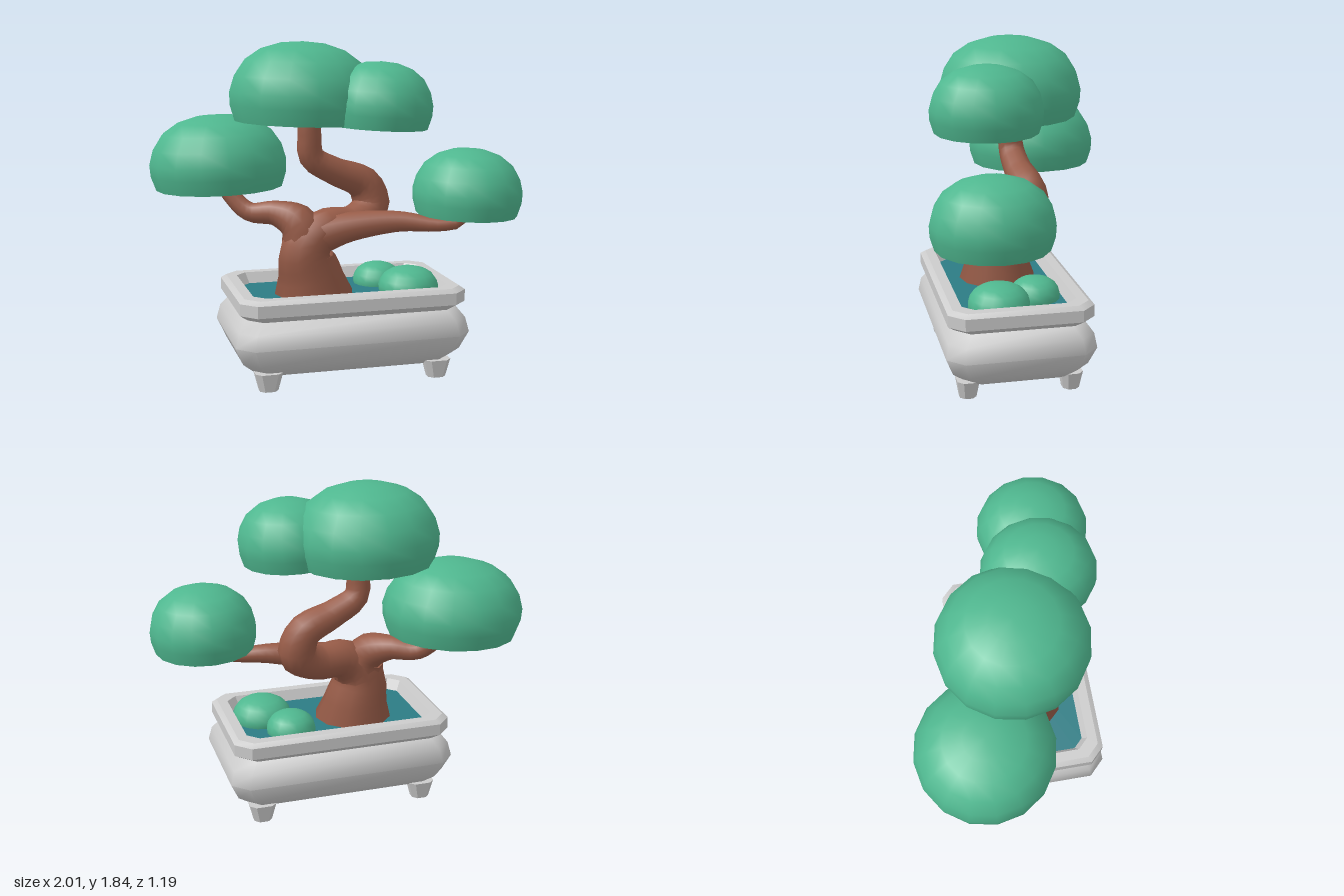
import * as THREE from 'three';
import { toCreasedNormals } from 'three/addons/utils/BufferGeometryUtils.js';

const material = (color) => new THREE.MeshStandardMaterial({ color });
const GREY = material(0xcccccc);
const GREEN = material(0x4fb78f);
const BROWN = material(0x985c48);
const TEAL = material(0x2c7c84);

function addMesh(parent, name, geometry, mat) {
  const mesh = new THREE.Mesh(geometry, mat);
  mesh.name = name;
  parent.add(mesh);
  return mesh;
}

// Solid through rectangles with cut corners; each ring is [y, halfX, halfZ, cut]
function loft(rings, crease) {
  const pos = [], index = [], n = 8;
  for (const [y, x, z, c] of rings) {
    const loop = [[x, -z + c], [x, z - c], [x - c, z], [c - x, z], [-x, z - c], [-x, c - z], [c - x, -z], [x - c, -z]];
    for (const [px, pz] of loop) pos.push(px, y, pz);
  }
  for (let i = 0; i < rings.length - 1; i++) {
    for (let j = 0; j < n; j++) {
      const a = i * n + j, b = i * n + (j + 1) % n;
      index.push(a, a + n, b, b, a + n, b + n);
    }
  }
  const top = (rings.length - 1) * n;
  for (let j = 1; j < n - 1; j++) index.push(0, j, j + 1, top, top + j + 1, top + j);
  const g = new THREE.BufferGeometry();
  g.setAttribute('position', new THREE.Float32BufferAttribute(pos, 3));
  g.setIndex(index);
  return toCreasedNormals(g, crease);
}

// Tapering tube; each point is [x, y, z, radius]
function limb(points, steps, sides) {
  const curve = new THREE.CatmullRomCurve3(points.map((p) => new THREE.Vector3(p[0], p[1], p[2])));
  const g = new THREE.TubeGeometry(curve, steps, 1, sides, false);
  const pos = g.attributes.position, v = new THREE.Vector3();
  for (let i = 0; i <= steps; i++) {
    const t = curve.getUtoTmapping(i / steps);
    const centre = curve.getPoint(t);
    const f = t * (points.length - 1), k = Math.min(Math.floor(f), points.length - 2);
    const r = THREE.MathUtils.lerp(points[k][3], points[k + 1][3], f - k);
    for (let j = 0; j <= sides; j++) {
      const id = i * (sides + 1) + j;
      v.fromBufferAttribute(pos, id).sub(centre).multiplyScalar(r).add(centre);
      pos.setXYZ(id, v.x, v.y, v.z);
    }
  }
  return g;
}

// Flat-bottomed foliage dome of unit radius and unit height
function dome() {
  const profile = [[0, 0], [0.92, 0], [0.99, 0.2], [1, 0.36], [0.94, 0.56], [0.8, 0.76], [0.58, 0.9], [0.3, 0.98], [0, 1]];
  const g = new THREE.LatheGeometry(profile.map(([r, y]) => new THREE.Vector2(r, y)), 16);
  return toCreasedNormals(g, 0.9);
}

export function createModel() {
  const model = new THREE.Group();
  model.name = 'bonsaiTree';

  // Pot
  const pot = new THREE.Group();
  pot.name = 'pot';
  pot.position.set(0.015, 0, 0.09);
  model.add(pot);
  addMesh(pot, 'potBody', loft([
    [0.07, 0.51, 0.27, 0.06],
    [0.09, 0.545, 0.305, 0.07],
    [0.15, 0.61, 0.37, 0.08],
    [0.25, 0.655, 0.41, 0.09],
    [0.33, 0.635, 0.395, 0.085],
    [0.39, 0.59, 0.35, 0.08],
  ], 1.0), GREY);
  addMesh(pot, 'potRim', loft([
    [0.385, 0.575, 0.345, 0.07],
    [0.425, 0.628, 0.395, 0.08],
    [0.49, 0.628, 0.395, 0.08],
    [0.51, 0.6, 0.367, 0.07],
    [0.51, 0.545, 0.312, 0.06],
    [0.43, 0.51, 0.278, 0.05],
  ], 0.5), GREY);
  addMesh(pot, 'soil', loft([[0.4, 0.5, 0.27, 0.05], [0.45, 0.52, 0.288, 0.05]], 0.5), TEAL);
  for (const sx of [-1, 1]) {
    for (const sz of [-1, 1]) {
      const foot = addMesh(pot, 'potFoot', loft([[0, 0.05, 0.045, 0.025], [0.1, 0.075, 0.06, 0.03]], 0.5), GREY);
      foot.position.set(sx * 0.475, 0, sz * 0.285);
    }
  }

  // Trunk and branches
  const tree = new THREE.Group();
  tree.name = 'tree';
  model.add(tree);
  addMesh(tree, 'trunk', limb([
    [-0.14, 0.4, 0.085, 0.24],
    [-0.16, 0.55, 0.085, 0.185],
    [-0.18, 0.7, 0.09, 0.145],
    [-0.08, 0.805, 0.08, 0.11],
    [0.1, 0.82, 0.03, 0.1],
    [0.225, 0.9, -0.02, 0.11],
    [0.19, 1.03, -0.03, 0.1],
    [0.01, 1.115, -0.01, 0.08],
    [-0.125, 1.2, 0, 0.072],
    [-0.14, 1.33, 0.01, 0.066],
    [-0.14, 1.46, 0.01, 0.064],
  ], 36, 12), BROWN);
  addMesh(tree, 'leftBranch', limb([
    [-0.16, 0.76, 0.09, 0.12],
    [0.05, 0.815, 0.12, 0.085],
    [0.33, 0.845, 0.18, 0.058],
    [0.55, 0.83, 0.26, 0.036],
    [0.65, 0.85, 0.28, 0.036],
    [0.71, 0.95, 0.27, 0.034],
  ], 20, 10), BROWN);
  addMesh(tree, 'rightBranch', limb([
    [-0.18, 0.68, 0.09, 0.13],
    [-0.215, 0.83, 0.06, 0.115],
    [-0.32, 0.885, -0.03, 0.072],
    [-0.46, 0.885, -0.12, 0.054],
    [-0.55, 0.97, -0.18, 0.048],
    [-0.61, 1.07, -0.22, 0.044],
  ], 20, 10), BROWN);

  // Foliage and shrubs: name, centre x, base y, centre z, radii x and z, height, tilt
  const shape = dome();
  const leaves = [
    ['topFoliage', -0.185, 1.4, 0, 0.405, 0.405, 0.44, -0.03],
    ['frontFoliage', 0.2, 1.38, 0.205, 0.288, 0.31, 0.355, -0.05],
    ['rightFoliage', -0.61, 1.02, -0.22, 0.39, 0.38, 0.41, 0.03],
    ['leftFoliage', 0.695, 0.888, 0.27, 0.303, 0.322, 0.367, -0.03],
    ['largeShrub', 0.39, 0.42, 0.18, 0.17, 0.17, 0.165, 0],
    ['smallShrub', 0.275, 0.42, -0.045, 0.14, 0.14, 0.15, 0],
  ];
  for (const [name, x, y, z, rx, rz, h, tilt] of leaves) {
    const leaf = addMesh(model, name, shape, GREEN);
    leaf.position.set(x, y, z);
    leaf.scale.set(rx, h, rz);
    leaf.rotation.z = tilt;
  }
  return model;
}
